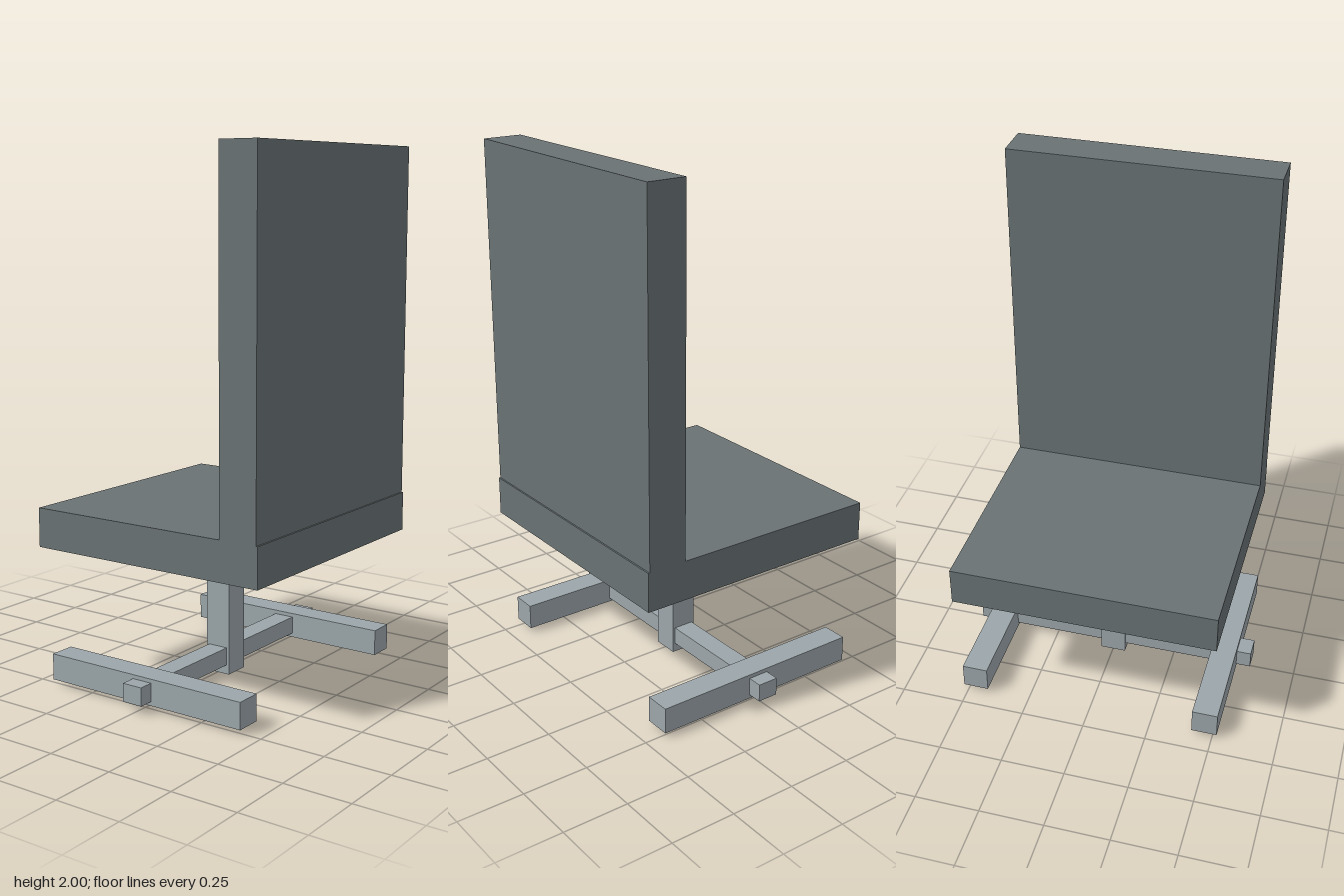
import * as THREE from 'three';

export function createModel() {
  const group = new THREE.Group();
  group.name = 'chair';

  const cushion = new THREE.MeshStandardMaterial({ color: 0x697274 });
  cushion.name = 'dark grey upholstery';
  const metal = new THREE.MeshStandardMaterial({ color: 0x9ca6aa });
  metal.name = 'light grey frame';

  // Box given by its minimum and maximum corners
  function block(name, material, [x0, y0, z0], [x1, y1, z1]) {
    const mesh = new THREE.Mesh(new THREE.BoxGeometry(x1 - x0, y1 - y0, z1 - z0), material);
    mesh.position.set((x0 + x1) / 2, (y0 + y1) / 2, (z0 + z1) / 2);
    mesh.name = name;
    group.add(mesh);
  }

  // Seat and tall backrest
  block('seat', cushion, [-0.51, 0.522, -0.49], [0.51, 0.672, 0.49]);
  block('backrest', cushion, [-0.51, 0.672, 0.333], [0.51, 2, 0.484]);

  // Central post and the bar across it
  block('post', metal, [-0.051, 0, -0.051], [0.051, 0.522, 0.051]);
  block('crossBar', metal, [-0.575, 0.036, -0.041], [0.575, 0.105, 0.041]);

  // Floor rails, mirrored left and right
  for (const side of [-1, 1]) {
    const x = side * 0.468;
    block(side > 0 ? 'leftRail' : 'rightRail', metal, [x - 0.05, 0.02, -0.427], [x + 0.05, 0.12, 0.427]);
  }

  return group;
}
